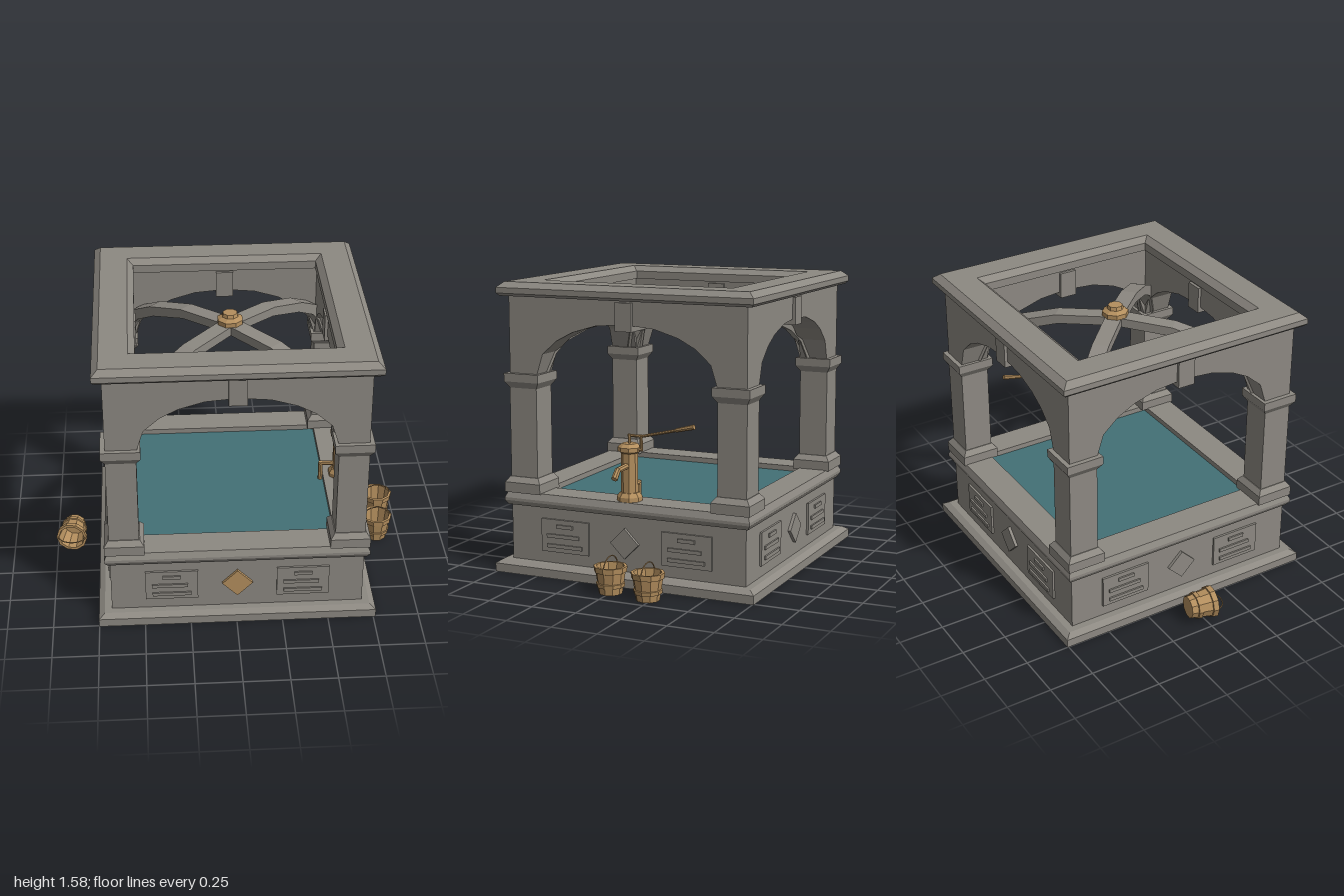
import * as THREE from 'three';

const mat = (name, color) => new THREE.MeshStandardMaterial({ name, color });

export function createModel() {
  const stone = mat('stone', 0x8d8982);
  const wood = mat('warm wood', 0xb48f5e);
  const water = mat('water', 0x437076);
  const model = new THREE.Group();
  model.name = 'pavilionWell';

  // Faceted mesh with hard edges
  const add = (parent, name, geometry, material) => {
    const g = geometry.index ? geometry.toNonIndexed() : geometry;
    g.computeVertexNormals();
    const mesh = new THREE.Mesh(g, material);
    mesh.name = name;
    parent.add(mesh);
    return mesh;
  };
  const group = (parent, name) => {
    const g = new THREE.Group();
    g.name = name;
    parent.add(g);
    return g;
  };
  const lathe = (profile, sides) =>
    new THREE.LatheGeometry(profile.map(([r, y]) => new THREE.Vector2(r, y)), sides, Math.PI / sides);
  // Square moulding: profile of [half width, height]
  const square = profile => lathe(profile.map(([h, y]) => [h * Math.SQRT2, y]), 4);
  const extrude = (points, depth) => new THREE.ExtrudeGeometry(
    new THREE.Shape(points.map(([x, y]) => new THREE.Vector2(x, y))), { depth, bevelEnabled: false });
  // Straight round bar between two points
  const bar = (parent, name, a, b, r0, r1 = r0, sides = 8) => {
    const p = new THREE.Vector3(...a), q = new THREE.Vector3(...b), d = q.clone().sub(p);
    const m = add(parent, name, new THREE.CylinderGeometry(r1, r0, d.length(), sides), wood);
    m.position.copy(p).add(q).multiplyScalar(0.5);
    m.quaternion.setFromUnitVectors(new THREE.Vector3(0, 1, 0), d.normalize());
    return m;
  };

  const well = group(model, 'well');
  well.position.x = 0.006;

  // Plinth, basin walls, rim and water
  add(well, 'plinth', square([[0, 0], [0.757, 0], [0.757, 0.047], [0.725, 0.067], [0, 0.067]]), stone);
  add(well, 'basin', square([[0.686, 0.06], [0.686, 0.38], [0.54, 0.38], [0.54, 0.06]]), stone);
  add(well, 'rim', square([[0.686, 0.37], [0.7, 0.37], [0.715, 0.395], [0.715, 0.41], [0.7, 0.445],
    [0.535, 0.445], [0.535, 0.37]]), stone);
  const pool = add(well, 'waterSurface', new THREE.PlaneGeometry(1.08, 1.08), water);
  pool.rotation.x = -Math.PI / 2;
  pool.position.y = 0.415;

  // Corner columns with foot and capital
  const column = square([[0.1075, 0.44], [0.1075, 0.495], [0.085, 0.525], [0.081, 0.525], [0.081, 1.01],
    [0.104, 1.045], [0.104, 1.09], [0, 1.09]]);
  for (const sx of [-1, 1]) for (const sz of [-1, 1]) {
    add(well, 'column', column, stone).position.set(sx * 0.606, 0, sz * 0.606);
  }

  // Four sides: arch, keystone, panels and diamond
  const archHalf = [[0.52, 1.09], [0.485, 1.2], [0.4, 1.275], [0.305, 1.325], [0.17, 1.365]];
  const mirrored = (half, apex) => [...half, [0, apex], ...half.map(([x, y]) => [-x, y]).reverse()];
  const archShape = [[-0.685, 1.09], [-0.685, 1.51], [0.685, 1.51], [0.685, 1.09], ...mirrored(archHalf, 1.38)];
  for (let i = 0; i < 4; i++) {
    const side = group(well, 'side');
    side.rotation.y = i * Math.PI / 2;
    add(side, 'arch', extrude(archShape, 0.16), stone).position.z = 0.525;
    add(side, 'keystone', new THREE.BoxGeometry(0.097, 0.15, 0.193), stone).position.set(0, 1.42, 0.605);
    for (const s of [-1, 1]) {
      const panel = group(side, 'panel');
      panel.position.set(s * 0.357, 0, 0);
      add(panel, 'plate', new THREE.BoxGeometry(0.285, 0.18, 0.02), stone).position.set(0, 0.22, 0.688);
      [[0, 0.274, 0.097], [-0.01, 0.22, 0.193], [0, 0.165, 0.21]].forEach(([x, y, w]) =>
        add(panel, 'raisedBar', new THREE.BoxGeometry(w, 0.02, 0.016), stone).position.set(x, y, 0.699));
    }
    const d = 0.083;
    add(side, 'diamond', extrude([[0, -d], [d, 0], [0, d], [-d, 0]], 0.02), i === 0 ? wood : stone)
      .position.set(0, 0.222, 0.683);
  }

  // Open cornice on top
  add(well, 'cornice', square([[0.515, 1.505], [0.72, 1.505], [0.735, 1.52], [0.735, 1.55], [0.7, 1.58],
    [0.55, 1.58], [0.515, 1.55], [0.515, 1.505]]), stone);

  // Crossing ribs and boss
  const under = [[0.54, 1.09], [0.51, 1.19], [0.47, 1.25], [0.38, 1.315], [0.22, 1.38]];
  const over = [[0.58, 1.09], [0.56, 1.21], [0.5, 1.295], [0.4, 1.365], [0.23, 1.43]];
  const wide = pts => pts.map(([x, y]) => [x * Math.SQRT2, y]);
  const ribShape = [...wide(mirrored(under, 1.405)), ...wide(mirrored(over, 1.455)).reverse()];
  for (const s of [-1, 1]) {
    const rib = extrude(ribShape, 0.09);
    rib.translate(0, 0, -0.045);
    add(well, 'rib', rib, stone).rotation.y = s * Math.PI / 4;
  }
  add(well, 'boss', lathe([[0, 1.39], [0.05, 1.39], [0.072, 1.45], [0.072, 1.475], [0.045, 1.49],
    [0.04, 1.51], [0, 1.51]], 8), wood);

  // Hand pump standing on the rim
  const pump = group(model, 'pump');
  pump.position.set(0.638, 0, 0);
  add(pump, 'pumpBody', lathe([[0, 0.445], [0.068, 0.445], [0.068, 0.468], [0.052, 0.49], [0.045, 0.49],
    [0.045, 0.7], [0.063, 0.71], [0.063, 0.733], [0.04, 0.752], [0, 0.752]], 8), wood);
  bar(pump, 'pistonRod', [0, 0.74, 0], [0, 0.8, 0], 0.009);
  bar(pump, 'link', [0, 0.793, 0.008], [0, 0.793, -0.075], 0.008);
  bar(pump, 'bracket', [0, 0.715, -0.068], [0, 0.8, -0.068], 0.009);
  bar(pump, 'bracketArm', [0, 0.722, -0.04], [0, 0.722, -0.075], 0.01);
  bar(pump, 'handle', [0, 0.79, -0.06], [0, 0.842, -0.28], 0.008);
  bar(pump, 'grip', [0, 0.84, -0.27], [0, 0.865, -0.372], 0.011, 0.014);
  bar(pump, 'spout', [0.03, 0.635, 0], [0.142, 0.632, 0], 0.017, 0.016);
  bar(pump, 'spoutTip', [0.135, 0.636, 0], [0.178, 0.592, 0], 0.016, 0.018);
  bar(pump, 'intake', [-0.03, 0.52, 0], [-0.118, 0.52, 0], 0.013);
  bar(pump, 'intakeDrop', [-0.112, 0.53, 0], [-0.112, 0.4, 0], 0.013);

  // Buckets with bands and wire handle
  const bucketProfile = [[0, 0], [0.062, 0], [0.067, 0.035], [0.074, 0.037], [0.077, 0.058], [0.071, 0.06],
    [0.079, 0.115], [0.086, 0.117], [0.089, 0.147], [0.074, 0.147], [0.06, 0.025], [0, 0.025]];
  const bucket = () => {
    const b = group(model, 'bucket');
    add(b, 'tub', lathe(bucketProfile, 10), wood);
    const handle = add(b, 'wireHandle', new THREE.TorusGeometry(0.083, 0.0035, 5, 14, Math.PI), wood);
    handle.position.y = 0.125;
    handle.scale.y = 0.88;
    return b;
  };
  bucket().position.set(0.868, 0, 0);
  bucket().position.set(0.9, 0, -0.23);
  // Bucket lying on its side
  const fallen = bucket();
  fallen.position.set(-0.897, 0.095, -0.09);
  fallen.rotation.set(Math.PI / 2, 0, 0.13);

  return model;
}
